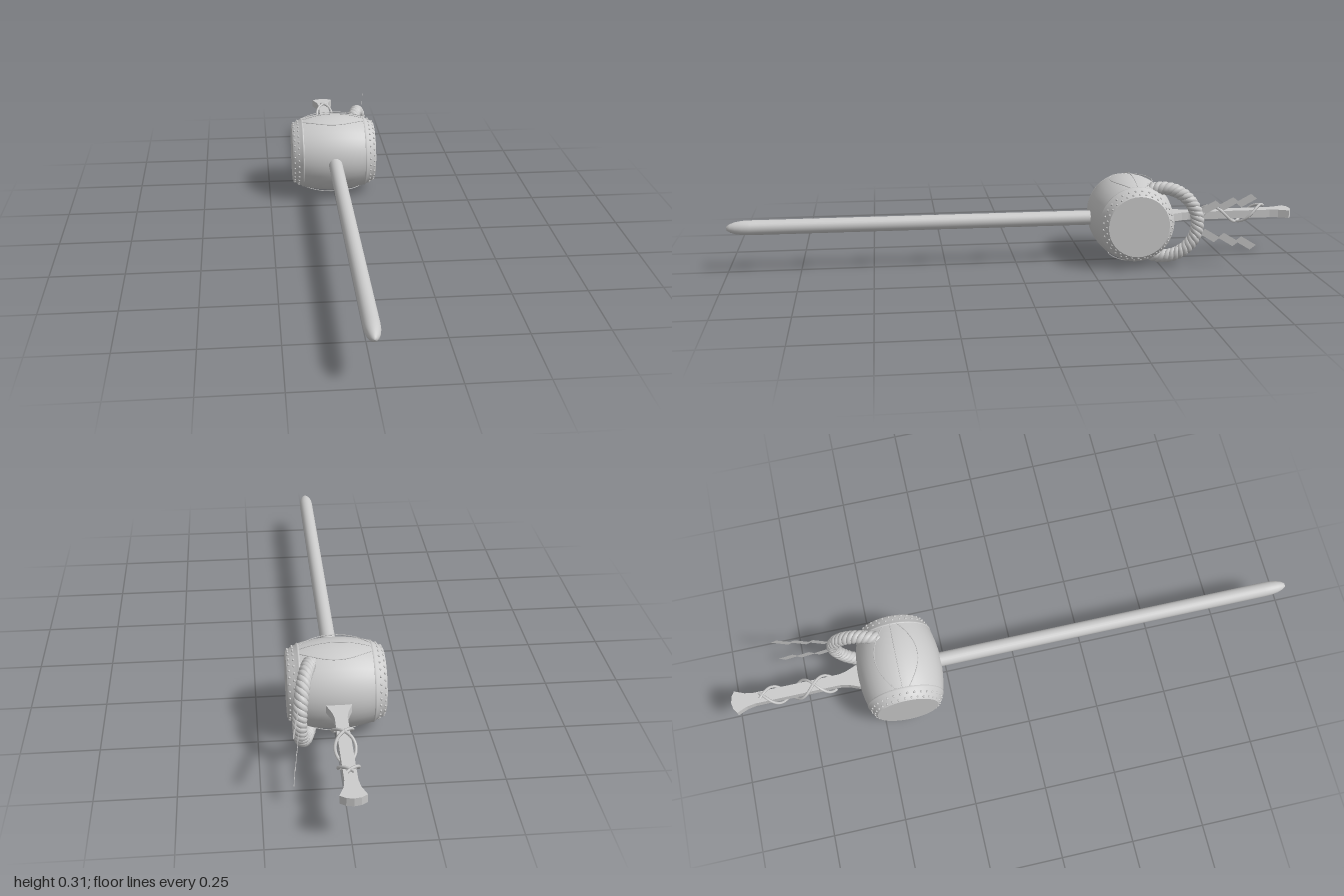
import * as THREE from 'three';
import { mergeGeometries } from 'three/addons/utils/BufferGeometryUtils.js';

const CX = -0.004, CY = 0.155, CZ = -0.41; // centre of the drum
const V = (x, y, z) => new THREE.Vector3(x, y, z);
const grey = new THREE.MeshStandardMaterial({ color: 0xcccccc });
const thin = new THREE.MeshStandardMaterial({ color: 0xcccccc, side: THREE.DoubleSide });

function add(parent, name, geometry, material = grey) {
  const mesh = new THREE.Mesh(geometry, material);
  mesh.name = name;
  parent.add(mesh);
  return mesh;
}

const lathe = (points, segments) =>
  new THREE.LatheGeometry(points.map(([r, y]) => new THREE.Vector2(r, y)), segments);

// Tube through the points given by fn(t), t from 0 to 1
function tube(fn, samples, radius, sides = 6) {
  const points = Array.from({ length: samples + 1 }, (_, i) => fn(i / samples));
  return new THREE.TubeGeometry(new THREE.CatmullRomCurve3(points), samples, radius, sides);
}

// Drum: local x is the drum's axis
function buildDrum() {
  const drum = new THREE.Group();
  drum.name = 'drum';
  drum.position.set(CX, CY, CZ);

  const profile = [];
  for (let i = 0; i <= 12; i++) {
    const s = i / 6 - 1;
    profile.push([0.131 + 0.016 * (1 - s * s), 0.118 * s]);
  }
  add(drum, 'barrel', lathe(profile, 36).rotateZ(-Math.PI / 2));

  // Thin cords bowed over the top and bottom of the barrel
  const cords = [];
  for (const base of [0, Math.PI]) {
    for (const spread of [-0.5, 0, 0.5]) {
      cords.push(tube(t => {
        const s = t * 2 - 1, bow = 1 - s * s;
        const a = base + spread * (0.35 + 0.65 * bow), r = 0.131 + 0.0225 * bow;
        return V(0.117 * s, r * Math.cos(a), r * Math.sin(a));
      }, 20, 0.0015, 5));
    }
  }
  add(drum, 'barrelCords', mergeGeometries(cords));

  for (const side of [1, -1]) {
    const end = new THREE.Group();
    end.name = side > 0 ? 'leftEnd' : 'rightEnd';
    if (side < 0) end.rotation.y = Math.PI;
    drum.add(end);

    add(end, 'skinCollar', lathe([[0.130, 0.114], [0.133, 0.116], [0.132, 0.121],
      [0.128, 0.123], [0.120, 0.139], [0.112, 0.152], [0.107, 0.157]], 36).rotateZ(-Math.PI / 2));
    add(end, 'drumHead', new THREE.CircleGeometry(0.107, 36).rotateY(Math.PI / 2).translate(0.157, 0, 0));

    // Comma-shaped swirl lying on the head
    const swirl = new THREE.Shape();
    swirl.absarc(0, 0, 0.078, Math.PI * 0.5, Math.PI * 1.5, false);
    swirl.absarc(0, -0.039, 0.039, -Math.PI / 2, Math.PI / 2, false);
    swirl.absarc(0, 0.039, 0.039, Math.PI * 1.5, Math.PI * 0.5, true);
    add(end, 'headSwirl', new THREE.ShapeGeometry(swirl, 14).rotateY(Math.PI / 2).translate(0.1576, 0, 0));

    // Two staggered rows of studs
    const studs = [];
    [[0.150, 0.113], [0.135, 0.122]].forEach(([x, r], row) => {
      for (let i = 0; i < 32; i++) {
        const a = (i + row * 0.5) / 32 * Math.PI * 2;
        studs.push(new THREE.SphereGeometry(0.0042, 7, 5).translate(x, r * Math.cos(a), r * Math.sin(a)));
      }
    });
    add(end, 'studs', mergeGeometries(studs));
  }
  return drum;
}

// Rear grip: flat bar flared at both ends, with two crossing cords
function buildGrip() {
  const grip = new THREE.Group();
  grip.name = 'grip';
  grip.position.set(CX, CY, 0);

  const half = [[0.044, 0.53], [0.04, 0.558], [0.025, 0.595], [0.02, 0.62], [0.02, 0.92],
    [0.025, 0.95], [0.04, 0.985], [0.022, 0.996]];
  const outline = [...half, [0, 1], ...half.map(([x, u]) => [-x, u]).reverse()];
  const shape = new THREE.Shape(outline.map(([x, u]) => new THREE.Vector2(x, u)));
  const bar = new THREE.ExtrudeGeometry(shape, { depth: 0.028, bevelEnabled: false });
  add(grip, 'gripBar', bar.rotateX(-Math.PI / 2).translate(0, -0.014, 0));

  for (const side of [1, -1]) {
    add(grip, 'gripCord', tube(t => {
      const z = -0.64 - 0.26 * t, a = (z + 0.71) / 0.18 * Math.PI * 2;
      return V(side * 0.031 * Math.sin(a), 0.029 * Math.cos(a), z);
    }, 48, 0.005));
  }
  return grip;
}

// Twisted rope loop standing out behind the drum, leaning towards the left end
function buildRope() {
  const rope = new THREE.Group();
  rope.name = 'rope';
  const lean = 0.27, axis = V(lean, 0, -1).normalize(), normal = V(1, 0, lean).normalize();
  const centre = V(0.091, CY, -0.505);
  for (let k = 0; k < 3; k++) {
    add(rope, 'ropeStrand', tube(t => {
      const a = (t * 2 - 1) * 1.98;
      const twist = t * 9 * Math.PI * 2 + k * Math.PI * 2 / 3;
      const radius = 0.122 + 0.0115 * Math.cos(twist);
      return centre.clone()
        .addScaledVector(axis, radius * Math.cos(a))
        .addScaledVector(normal, 0.0115 * Math.sin(twist))
        .add(V(0, radius * Math.sin(a), 0));
    }, 150, 0.0125, 8));
  }
  return rope;
}

// Zigzag paper streamers hanging off the rope, three flat panels each
function buildStreamers() {
  const streamers = new THREE.Group();
  streamers.name = 'streamers';
  const layouts = {
    upperStreamer: { slope: 1, panels: [[0.665, 0.214], [0.725, 0.226], [0.785, 0.238]] },
    lowerStreamer: { slope: -1, panels: [[0.665, 0.112], [0.73, 0.098], [0.79, 0.086]] },
  };
  for (const [name, { slope, panels }] of Object.entries(layouts)) {
    const panelShape = new THREE.Shape([[-0.037, -0.007], [-0.016, -0.024], [0.037, 0.007], [0.016, 0.024]]
      .map(([u, y]) => new THREE.Vector2(u, y * slope)));
    const parts = panels.map(([u, y]) => new THREE.ShapeGeometry(panelShape)
      .rotateY(Math.PI / 2 - 0.14).translate(0.13 + (u - 0.65) * 0.14, y, -u));
    add(streamers, name, mergeGeometries(parts), thin);
  }
  return streamers;
}

export function createModel() {
  const model = new THREE.Group();
  model.name = 'mallet';

  // Long round shaft with a rounded, tapering tip
  const shaft = lathe([[0.0255, -0.3], [0.0255, 0.92], [0.0245, 0.945], [0.021, 0.968],
    [0.015, 0.986], [0.008, 0.997], [0, 1]], 24);
  add(model, 'shaft', shaft.rotateX(Math.PI / 2).translate(CX, CY, 0));

  model.add(buildDrum(), buildGrip(), buildRope(), buildStreamers());
  return model;
}
